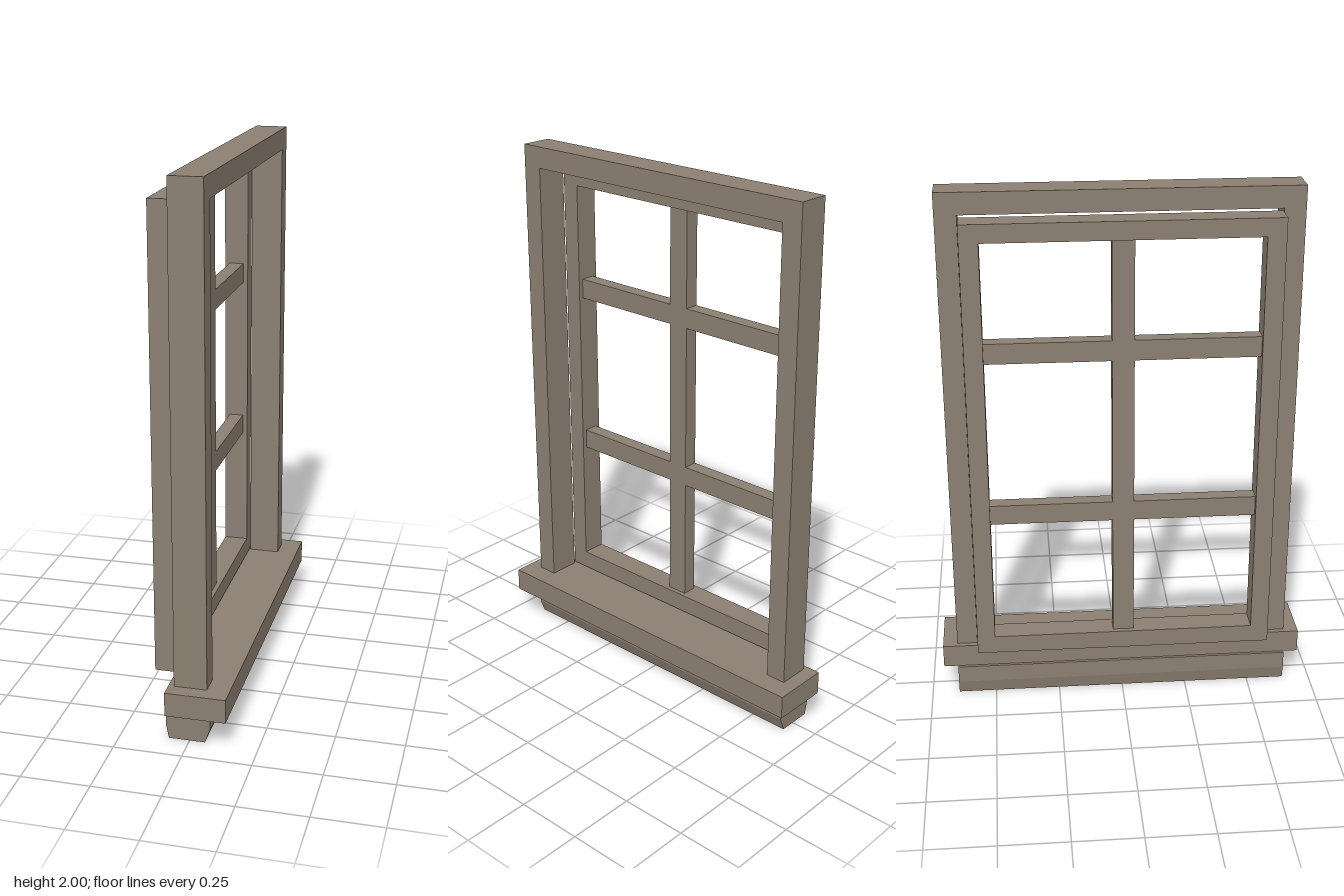
import * as THREE from 'three';

const paint = new THREE.MeshStandardMaterial({ color: 0x8b7f72, flatShading: true });

function polygon(points) {
  return new THREE.Shape(points.map(([x, y]) => new THREE.Vector2(x, y)));
}

// Box given by its minimum and maximum on each axis
function box(name, [x0, x1], [y0, y1], [z0, z1]) {
  const mesh = new THREE.Mesh(new THREE.BoxGeometry(x1 - x0, y1 - y0, z1 - z0), paint);
  mesh.position.set((x0 + x1) / 2, (y0 + y1) / 2, (z0 + z1) / 2);
  mesh.name = name;
  return mesh;
}

// Outline in the plane of the window, extruded through its thickness from x0 to x1
function panel(name, shape, x0, x1) {
  const geometry = new THREE.ExtrudeGeometry(shape, { depth: x1 - x0, bevelEnabled: false });
  geometry.rotateY(Math.PI / 2).translate(x0, 0, 0);
  const mesh = new THREE.Mesh(geometry, paint);
  mesh.name = name;
  return mesh;
}

export function createModel() {
  const model = new THREE.Group();
  model.name = 'window';

  // Outer frame: two jambs and a head, standing on the sill
  const frame = polygon([
    [-0.645, 0.21], [-0.567, 0.21], [-0.567, 1.92], [0.567, 1.92],
    [0.567, 0.21], [0.645, 0.21], [0.645, 2], [-0.645, 2],
  ]);
  model.add(panel('outerFrame', frame, -0.055, 0.065));

  // Sash set behind the frame
  const sash = polygon([[-0.563, 0.22], [0.563, 0.22], [0.563, 1.912], [-0.563, 1.912]]);
  sash.holes.push(polygon([[-0.495, 0.29], [-0.495, 1.845], [0.495, 1.845], [0.495, 0.29]]));
  model.add(panel('sash', sash, -0.147, -0.055));

  // Glazing bars
  const barDepth = [-0.128, -0.073];
  model.add(box('verticalBar', barDepth, [0.29, 1.845], [-0.04, 0.04]));
  for (const y of [0.803, 1.438]) {
    for (const side of [-1, 1]) {
      const span = side > 0 ? [0.04, 0.495] : [-0.495, -0.04];
      model.add(box('horizontalBar', barDepth, [y - 0.038, y + 0.038], span));
    }
  }

  // Projecting sill
  model.add(box('sill', [-0.075, 0.145], [0.12, 0.21], [-0.7, 0.7]));

  // Apron under the sill, tapering toward its foot
  const profile = polygon([
    [-0.076, 0], [0.056, 0], [0.075, 0.052], [0.075, 0.12], [-0.086, 0.12], [-0.086, 0.052],
  ]);
  const apronGeometry = new THREE.ExtrudeGeometry(profile, { depth: 1.29, bevelEnabled: false });
  apronGeometry.translate(0, 0, -0.645);
  const apron = new THREE.Mesh(apronGeometry, paint);
  apron.name = 'apron';
  model.add(apron);

  return model;
}
